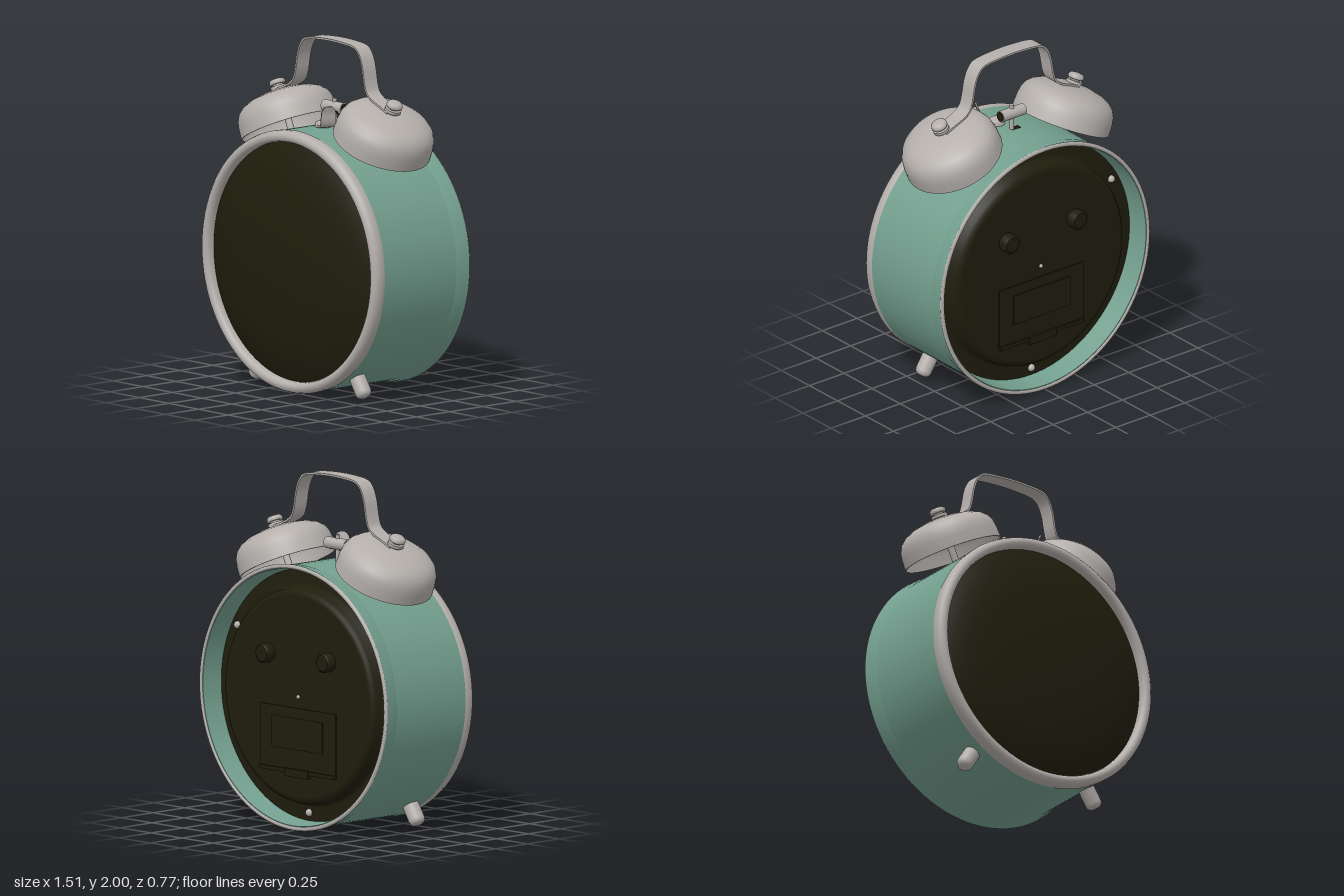
import * as THREE from 'three';
import { toCreasedNormals } from 'three/addons/utils/BufferGeometryUtils.js';

const CY = 0.76; // height of the case axis
const rad = THREE.MathUtils.degToRad;

const material = (name, color) => {
  const m = new THREE.MeshStandardMaterial({ color, side: THREE.DoubleSide });
  m.name = name;
  return m;
};

// Lathe from [radius, height, sharp] points; sharp points are doubled to keep a crisp edge.
function lathe(points, segments = 96) {
  const profile = [];
  for (const [r, h, sharp] of points) {
    profile.push(new THREE.Vector2(r, h));
    if (sharp) profile.push(new THREE.Vector2(r, h));
  }
  return new THREE.LatheGeometry(profile, segments);
}

// Bent strip of even thickness along an xy path, centred on z.
function ribbon(path, thickness, width, samples) {
  const curve = new THREE.CatmullRomCurve3(path.map(([x, y]) => new THREE.Vector3(x, y, 0)), false, 'centripetal');
  const upper = [], lower = [];
  for (let i = 0; i <= samples; i++) {
    const p = curve.getPointAt(i / samples), t = curve.getTangentAt(i / samples);
    const ox = -t.y * thickness / 2, oy = t.x * thickness / 2;
    upper.push(new THREE.Vector2(p.x + ox, p.y + oy));
    lower.unshift(new THREE.Vector2(p.x - ox, p.y - oy));
  }
  const geo = new THREE.ExtrudeGeometry(new THREE.Shape([...lower, ...upper]), { depth: width, bevelEnabled: false });
  return geo.translate(0, 0, -width / 2);
}

export function createModel() {
  const model = new THREE.Group();
  model.name = 'alarmClock';
  const silver = material('silver metal', 0xb4afab);
  const teal = material('teal paint', 0x74a090);
  const dark = material('dark panel', 0x1f1d0c);

  const add = (parent, name, geometry, mat, x = 0, y = 0, z = 0) => {
    const mesh = new THREE.Mesh(geometry, mat);
    mesh.name = name;
    mesh.position.set(x, y, z);
    parent.add(mesh);
    return mesh;
  };
  // Round parts turned about the front-to-back axis.
  const addRound = (name, points, mat) =>
    add(model, name, lathe(points).rotateX(Math.PI / 2), mat, 0, CY, 0);

  // Case: flared shell, open at the back
  addRound('caseShell', [
    [0.715, -0.23], [0.73, -0.37, 1], [0.755, -0.37, 1], [0.75, -0.31],
    [0.743, -0.28, 1], [0.743, 0.26],
  ], teal);
  addRound('backRim', [
    [0.732, -0.365], [0.735, -0.374], [0.743, -0.377], [0.754, -0.374], [0.757, -0.366],
  ], silver);
  addRound('frontBezel', [
    [0.69, 0.25, 1], [0.735, 0.25], [0.746, 0.262], [0.746, 0.295], [0.738, 0.317], [0.722, 0.33],
    [0.703, 0.33], [0.688, 0.32], [0.682, 0.3], [0.682, 0.265],
  ], silver);

  // Domed front glass
  const dome = [];
  for (let i = 0; i <= 16; i++) {
    const r = 0.684 * (1 - i / 16);
    dome.push([r, 0.382 - 0.15 * r ** 2 - 0.35 * r ** 6]);
  }
  addRound('frontGlass', dome, dark);

  // Recessed back cover with a raised middle
  addRound('backCover', [
    [0, -0.33], [0.57, -0.33], [0.595, -0.324], [0.61, -0.305], [0.62, -0.255],
    [0.635, -0.245], [0.718, -0.24],
  ], dark);
  add(model, 'batteryDoor', new THREE.BoxGeometry(0.61, 0.36, 0.012), dark, 0, 0.515, -0.331);
  add(model, 'batteryDoorLedge', new THREE.BoxGeometry(0.61, 0.022, 0.03), dark, 0, 0.334, -0.331);
  add(model, 'batteryDoorPanel', new THREE.BoxGeometry(0.41, 0.18, 0.024), dark, 0, 0.547, -0.331);
  add(model, 'batteryLatch', new THREE.BoxGeometry(0.19, 0.045, 0.042), dark, 0, 0.325, -0.331);
  for (const s of [-1, 1]) {
    add(model, 'settingKnob', lathe([
      [0.055, 0], [0.055, 0.047], [0.045, 0.055, 1], [0, 0.055],
    ], 32).rotateX(-Math.PI / 2), dark, s * 0.245, 0.985, -0.329);
  }
  add(model, 'centrePin', new THREE.SphereGeometry(0.012, 12, 8), silver, 0, CY, -0.332);
  for (const deg of [30, 150, 270]) {
    add(model, 'coverScrew', new THREE.SphereGeometry(0.022, 16, 10), silver,
      0.668 * Math.cos(rad(deg)), CY + 0.668 * Math.sin(rad(deg)), -0.246);
  }

  // Bells and feet, mirrored
  for (const s of [-1, 1]) {
    const bell = new THREE.Group();
    bell.name = s > 0 ? 'leftBell' : 'rightBell';
    bell.position.set(s * 0.39, 1.455, -0.035);
    bell.rotation.z = -s * rad(25);
    model.add(bell);
    add(bell, 'bellShell', lathe([
      [0.278, -0.01, 1], [0.286, -0.01, 1], [0.284, 0.05], [0.277, 0.095], [0.26, 0.13], [0.231, 0.157],
      [0.19, 0.177], [0.13, 0.193], [0.07, 0.2], [0, 0.202],
    ], 64), silver);
    add(bell, 'bellPost', new THREE.CylinderGeometry(0.02, 0.02, 0.34, 20), silver, 0, 0.03, 0);
    add(bell, 'bellNut', lathe([
      [0.034, 0.195], [0.034, 0.21, 1], [0.047, 0.21, 1], [0.047, 0.228, 1], [0.028, 0.228, 1], [0.028, 0.238, 1],
      [0.043, 0.238], [0.047, 0.245], [0.045, 0.258], [0.036, 0.267], [0.018, 0.271], [0, 0.272],
    ], 32), silver);

    const foot = add(model, s > 0 ? 'leftFoot' : 'rightFoot', lathe([
      [0, -0.866], [0.018, -0.865], [0.034, -0.859], [0.044, -0.847], [0.047, -0.83], [0.047, -0.7],
    ], 32), silver, 0, CY, 0.16);
    foot.rotation.z = s * 0.57;
  }

  // Carrying handle
  const half = [[0.482, 1.639], [0.43, 1.663], [0.345, 1.7], [0.31, 1.73], [0.293, 1.775],
    [0.272, 1.88], [0.25, 1.935], [0.22, 1.97], [0.185, 1.982], [0.09, 1.991]];
  const handlePath = [...half.map(([x, y]) => [-x, y]), [0, 1.994], ...half.slice().reverse()];
  add(model, 'handle', toCreasedNormals(ribbon(handlePath, 0.011, 0.098, 110), 0.6), silver, 0, 0, -0.036);

  // Striker between the bells
  const striker = new THREE.Group();
  striker.name = 'striker';
  striker.position.set(-0.022, 1.602, -0.045);
  model.add(striker);
  add(striker, 'strikerStem', new THREE.CylinderGeometry(0.013, 0.013, 0.18, 16), silver, 0, -0.037, 0);
  add(striker, 'strikerHead', new THREE.CylinderGeometry(0.033, 0.033, 0.165, 28).rotateZ(Math.PI / 2), silver);
  for (const s of [-1, 1]) {
    add(striker, 'strikerPad', new THREE.CylinderGeometry(0.028, 0.028, 0.006, 28).rotateZ(Math.PI / 2), dark, s * 0.083);
  }
  // Coloured strips under the front of the head
  const strip = (from, to) => new THREE.CylinderGeometry(0.0345, 0.0345, 0.12, 12, 1, true, rad(from), rad(to - from))
    .rotateZ(Math.PI / 2);
  add(striker, 'strikerTealStrip', strip(-22, -8), teal);
  add(striker, 'strikerDarkStrip', strip(-100, -22), dark);
  add(model, 'strikerSlot', new THREE.BoxGeometry(0.06, 0.008, 0.03), dark, -0.045, 1.5, -0.045);

  // Alarm lever in front of the striker, its tip rounded off
  const lever = new THREE.Group();
  lever.name = 'alarmLever';
  lever.position.set(0, 0, 0.06);
  lever.rotation.y = -0.46;
  model.add(lever);
  add(lever, 'leverHub', lathe([
    [0.022, 1.47], [0.022, 1.505, 1], [0.046, 1.505, 1], [0.046, 1.527], [0.038, 1.535], [0.02, 1.538], [0, 1.539],
  ], 32), silver);
  const blade = ribbon([
    [0, 1.515], [0.05, 1.515], [0.085, 1.525], [0.1, 1.555], [0.108, 1.6], [0.122, 1.64],
  ], 0.01, 0.084, 50);
  const pos = blade.attributes.position;
  for (let i = 0; i < pos.count; i++) {
    const t = Math.min(1, Math.max(0, (pos.getY(i) - 1.595) / 0.049));
    pos.setZ(i, pos.getZ(i) * Math.sqrt(1 - t * t));
  }
  add(lever, 'leverBlade', toCreasedNormals(blade, 0.6), silver);

  return model;
}
